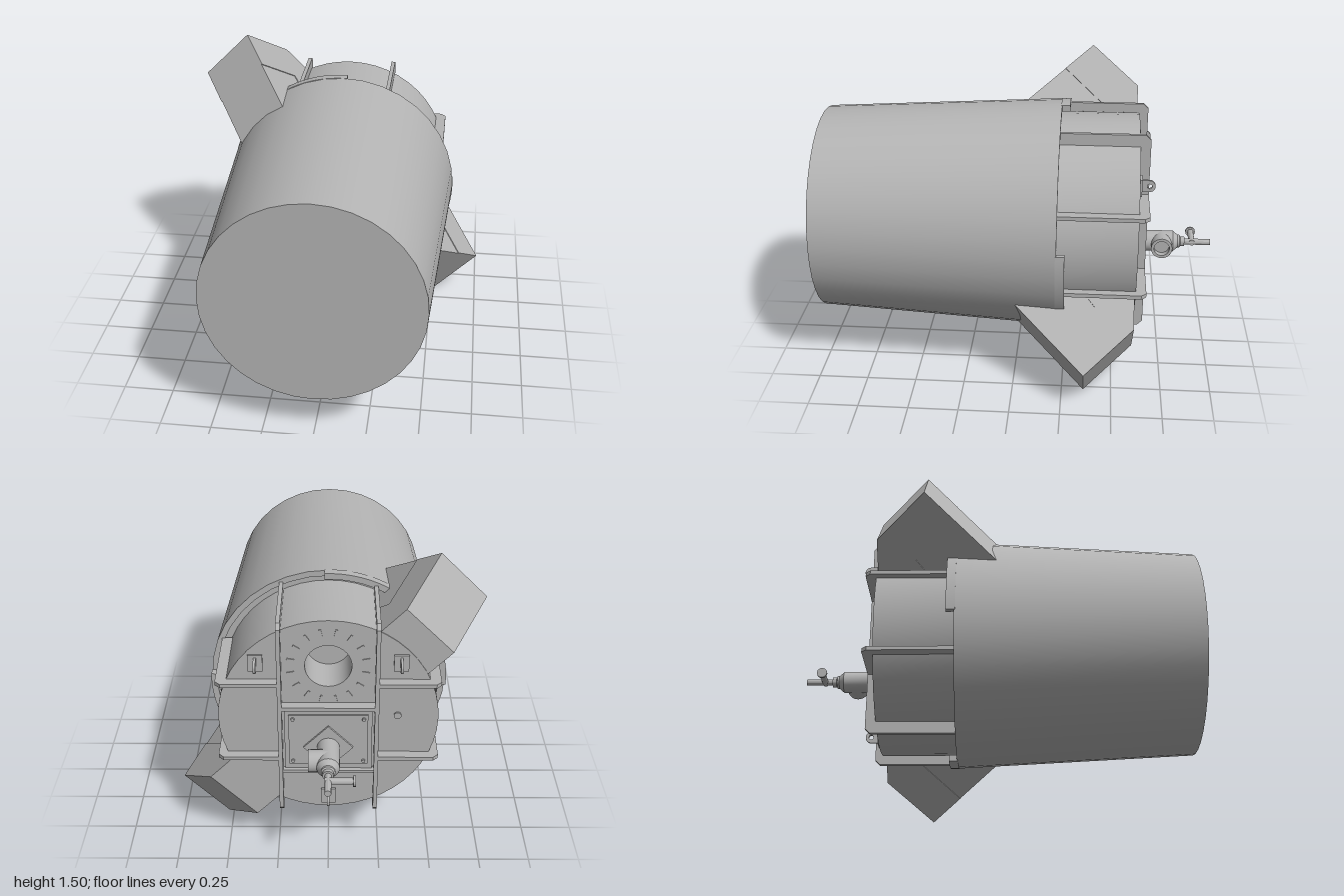
import * as THREE from 'three';
import { toCreasedNormals } from 'three/addons/utils/BufferGeometryUtils.js';

const AXIS_Y = 0.753; // height of the drum axis
const R = 0.525;      // rear drum radius
const BACK = -0.605;  // rear face of the drum
const metal = new THREE.MeshStandardMaterial({ color: 0xb4b4b4 });
metal.name = 'grey metal';

const V = (x, y, z) => new THREE.Vector3(x, y, z);
const X = V(1, 0, 0), Y = V(0, 1, 0), Z = V(0, 0, 1);

export function createModel() {
  const model = new THREE.Group();
  const root = new THREE.Group();
  root.name = 'vessel';
  root.position.y = AXIS_Y;
  model.add(root);

  const add = (name, geometry, x = 0, y = 0, z = 0, crease = 0.5) => {
    const mesh = new THREE.Mesh(toCreasedNormals(geometry, crease), metal);
    mesh.name = name;
    mesh.position.set(x, y, z);
    root.add(mesh);
    return mesh;
  };
  const box = (name, w, h, d, x, y, z) => add(name, new THREE.BoxGeometry(w, h, d), x, y, z);
  const polygon = pts => new THREE.Shape(pts.map(p => new THREE.Vector2(...p)));
  const extrude = (shape, depth) =>
    new THREE.ExtrudeGeometry(shape, { depth, bevelEnabled: false, curveSegments: 24 });
  // Slab of a shape drawn on axes u and v, centred on its thickness
  const slab = (name, shape, thickness, u, v, x = 0, y = 0, z = 0) => {
    const g = extrude(shape, thickness).translate(0, 0, -thickness / 2);
    g.applyMatrix4(new THREE.Matrix4().makeBasis(u, v, u.clone().cross(v)));
    return add(name, g, x, y, z);
  };
  // Turned part along z from [radius, z] points, rising in z
  const turned = (name, pts, x = 0, y = 0, sides = 20) =>
    add(name, new THREE.LatheGeometry(pts.map(p => new THREE.Vector2(...p)), sides)
      .rotateX(Math.PI / 2), x, y, 0);

  // Tapered main body with a recessed rear rim
  turned('taperedBody', [[0, -0.19], [0.56, -0.19], [0.56, -0.215], [0.59, -0.215],
    [0.525, 1], [0, 1]], 0, 0, 36);

  // Longer rim sections on two opposite quarters
  for (const start of [88, 268]) {
    const a = THREE.MathUtils.degToRad(start), b = THREE.MathUtils.degToRad(start + 95);
    const arc = new THREE.Shape();
    arc.absarc(0, 0, 0.591, a, b, false);
    arc.absarc(0, 0, 0.56, b, a, true);
    add('rimSection', extrude(arc, 0.045), 0, 0, -0.255);
  }

  // Rear drum with a round port
  const PORT_Y = 0.285;
  const face = new THREE.Shape();
  face.absarc(0, 0, R, 0, Math.PI * 2, false);
  const bore = new THREE.Path();
  bore.absarc(0, PORT_Y, 0.11, 0, Math.PI * 2, true);
  face.holes.push(bore);
  add('rearDrum', extrude(face, 0.42), 0, 0, BACK);
  add('portFloor', new THREE.CircleGeometry(0.115, 32).rotateY(Math.PI), 0, PORT_Y, -0.4);
  for (let i = 0; i < 16; i++) {
    const a = (i + 0.5) / 16 * Math.PI * 2;
    box('portMark', 0.035, 0.01, 0.01, Math.cos(a) * 0.18, PORT_Y + Math.sin(a) * 0.18, BACK)
      .rotation.z = a;
  }

  // Vertical and horizontal stiffening ribs with clipped rear corners
  const tall = polygon([[-0.21, -R], [-0.63, -R], [-0.655, -R + 0.025],
    [-0.655, R - 0.025], [-0.63, R], [-0.21, R]]);
  const short = polygon([[-0.21, 0.22], [-0.655, 0.22], [-0.655, 0.505], [-0.63, 0.53], [-0.21, 0.53]]);
  for (const s of [-1, 1]) {
    slab('verticalRib', tall, 0.02, Z, Y, s * 0.23);
    for (const y of [-0.205, 0.205]) slab('sideRib', short, 0.02, Z, V(s, 0, 0), 0, y);
  }
  box('crossRib', 0.45, 0.02, 0.05, 0, 0.075, -0.63);

  // Hatch with frame, bolts and a diamond mount
  box('hatch', 0.42, 0.33, 0.014, 0, -0.12, BACK - 0.006);
  box('hatchPanel', 0.38, 0.28, 0.014, 0, -0.115, BACK - 0.014);
  box('hatchSill', 0.44, 0.014, 0.03, 0, -0.295, BACK - 0.015);
  for (const x of [-0.17, 0.17]) for (const y of [-0.235, 0.005])
    add('hatchBolt', new THREE.CylinderGeometry(0.009, 0.009, 0.012, 8).rotateX(Math.PI / 2), x, y, -0.63);
  box('valveMount', 0.17, 0.17, 0.012, 0, -0.152, -0.631).rotation.z = Math.PI / 4;

  // Valve with side outlet and handle
  const VY = -0.152;
  turned('valveBody', [[0, -0.865], [0.026, -0.865], [0.026, -0.845], [0.034, -0.84],
    [0.034, -0.83], [0.055, -0.805], [0.055, -0.63]], 0, VY);
  turned('valveStem', [[0, -1], [0.016, -1], [0.016, -0.86]], 0, VY, 12);
  const outlet = new THREE.LatheGeometry([[0.055, 0], [0.055, 0.095], [0.04, 0.095], [0.04, 0.06],
    [0, 0.06]].map(p => new THREE.Vector2(...p)), 20);
  add('valveOutlet', outlet.rotateZ(-Math.PI / 2), 0, VY, -0.745);
  const bar = (name, r, length, x) =>
    add(name, new THREE.CylinderGeometry(r, r, length, 12).rotateZ(Math.PI / 2), x, VY, -0.905);
  bar('valveHandle', 0.016, 0.14, -0.055);
  bar('handleTip', 0.026, 0.012, -0.122);

  // Lifting lugs on small pads
  const lug = new THREE.Shape();
  lug.moveTo(0.03, 0);
  lug.lineTo(0.03, 0.045);
  lug.absarc(0, 0.045, 0.03, 0, Math.PI, false);
  lug.lineTo(-0.03, 0);
  const eye = new THREE.Path();
  eye.absarc(0, 0.047, 0.012, 0, Math.PI * 2, true);
  lug.holes.push(eye);
  for (const [x, y] of [[-0.34, 0.305], [0.34, 0.305], [0, -0.458]]) {
    box('lugPad', 0.07, 0.085, 0.012, x, y, BACK - 0.005);
    slab('liftingLug', lug, 0.012, Y, V(0, 0, -1), x, y, BACK);
  }
  add('sidePlug', new THREE.CylinderGeometry(0.018, 0.018, 0.016, 16).rotateX(Math.PI / 2),
    -0.33, 0.015, BACK);

  // Two angled housings on opposite diagonals, profiles as [z, radius]
  const rear = polygon([[-0.6, 0.42], [-0.6, 0.662], [-0.36, 0.9], [-0.215, 0.757],
    [-0.41, 0.56], [-0.33, 0.46]]);
  const front = polygon([[-0.215, 0.757], [0.1, 0.447], [0.1, 0.42], [-0.33, 0.42],
    [-0.33, 0.46], [-0.41, 0.56]]);
  for (const s of [-1, 1]) {
    const out = V(s, -s, 0).normalize();
    slab('housing', rear, 0.318, Z, out);
    slab('housingFairing', front, 0.31, Z, out);
  }

  return model;
}
